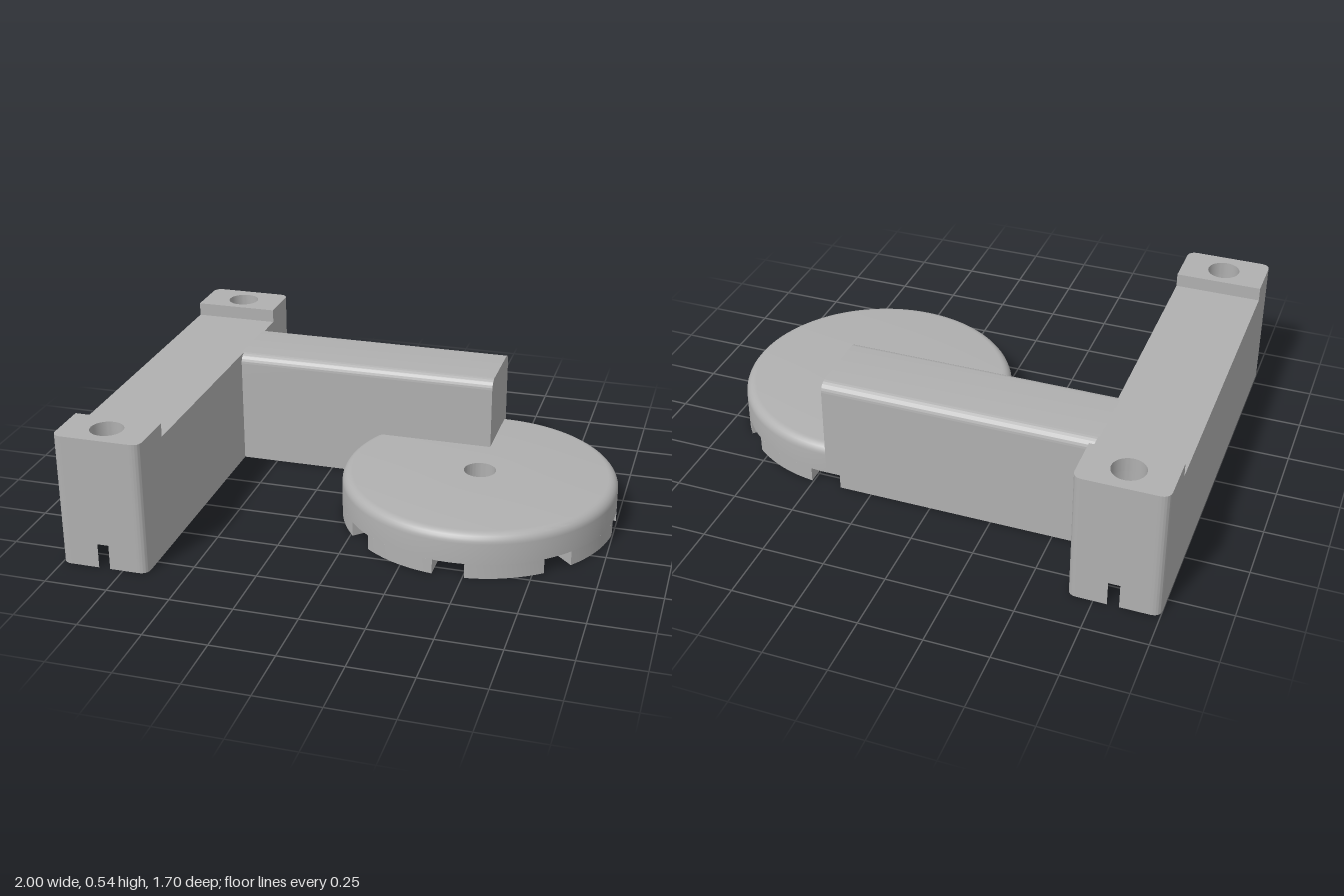
import * as THREE from 'three';
import { toCreasedNormals } from 'three/addons/utils/BufferGeometryUtils.js';

const BAR_X = -0.825, BAR_W = 0.175, BAR_END = 0.85, BAR_TOP = 0.48, PAD_TOP = 0.535;
const HOLE_R = 0.065, HOLE_Z = 0.74, NUT_R = 0.123, NUT_TOP = 0.1;
const DISC_X = 0.4445, DISC_R = 0.555, DISC_TOP = 0.185;
const GROOVE_TOP = 0.06, GROOVE_W = 0.0625, GROOVE_IN = 0.18, GROOVE_OUT = 0.59;
const ARM_BACK = -0.555, ARM_FRONT = -0.225;

export function createModel() {
  const group = new THREE.Group();
  const grey = new THREE.MeshStandardMaterial({ color: 0xb0b0b0 });
  grey.name = 'grey plastic';

  const add = (name, geometry) => {
    const mesh = new THREE.Mesh(toCreasedNormals(geometry, 0.45), grey);
    mesh.name = name;
    group.add(mesh);
    return mesh;
  };
  const extrude = (shape, depth) =>
    new THREE.ExtrudeGeometry(shape, { depth, bevelEnabled: false, curveSegments: 24 });
  // Slab from a plan drawn in (x, z), between heights y0 and y1
  const slab = (name, shape, y0, y1) =>
    add(name, extrude(shape, y1 - y0).rotateX(Math.PI / 2).translate(0, y1, 0));
  const drill = (shape, x, z) =>
    shape.holes.push(new THREE.Path().absarc(x, z, HOLE_R, 0, Math.PI * 2, true));

  // Rounded bar end: from one side to the other, with an optional nut pocket
  const c = 0.04, l = BAR_X - BAR_W, r = BAR_X + BAR_W;
  const barEnd = (shape, s, pocket) => {
    const a = l * (s < 0 ? 1 : 0) + r * (s < 0 ? 0 : 1); // starting side
    const b = l + r - a;
    shape.lineTo(a, s * (BAR_END - c));
    shape.quadraticCurveTo(a, s * BAR_END, a - s * c, s * BAR_END);
    if (pocket) {
      const open = (HOLE_Z + NUT_R - BAR_END) * Math.sqrt(3);
      shape.lineTo(BAR_X + s * open, s * BAR_END);
      for (const deg of [30, -30, -90, -150, -210]) {
        const t = THREE.MathUtils.degToRad(deg);
        shape.lineTo(BAR_X + s * NUT_R * Math.cos(t), s * (HOLE_Z + NUT_R * Math.sin(t)));
      }
      shape.lineTo(BAR_X - s * open, s * BAR_END);
    }
    shape.lineTo(b + s * c, s * BAR_END);
    shape.quadraticCurveTo(b, s * BAR_END, b, s * (BAR_END - c));
  };
  const barPlan = (pocket) => {
    const shape = new THREE.Shape();
    shape.moveTo(r, 0);
    barEnd(shape, 1, pocket);
    barEnd(shape, -1, pocket);
    shape.closePath();
    return shape;
  };

  // Mounting bar
  slab('barBase', barPlan(true), 0, NUT_TOP);
  const barBody = barPlan(false);
  for (const s of [1, -1]) drill(barBody, BAR_X, s * HOLE_Z);
  slab('barBody', barBody, NUT_TOP, BAR_TOP);

  // Raised pads at both ends
  for (const s of [1, -1]) {
    const pad = new THREE.Shape();
    pad.moveTo(s > 0 ? r : l, s * 0.64);
    barEnd(pad, s, false);
    pad.lineTo(s > 0 ? l : r, s * 0.64);
    pad.closePath();
    drill(pad, BAR_X, s * HOLE_Z);
    slab(s > 0 ? 'frontPad' : 'backPad', pad, BAR_TOP, PAD_TOP);
  }

  // Disc top with a rounded rim
  const f = 0.04;
  const profile = [[HOLE_R, GROOVE_TOP], [DISC_R, GROOVE_TOP]];
  for (let i = 0; i <= 6; i++) {
    const t = (i / 6) * Math.PI / 2;
    profile.push([DISC_R - f + f * Math.cos(t), DISC_TOP - f + f * Math.sin(t)]);
  }
  profile.push([HOLE_R, DISC_TOP], [HOLE_R, GROOVE_TOP]);
  add('discTop', new THREE.LatheGeometry(profile.map(([x, y]) => new THREE.Vector2(x, y)), 96))
    .position.x = DISC_X;

  // Disc underside cut by eight radial grooves
  const polar = (radial, side, a) => new THREE.Vector2(
    DISC_X + radial * Math.cos(a) - side * Math.sin(a),
    radial * Math.sin(a) + side * Math.cos(a));
  const half = Math.asin(GROOVE_W / DISC_R);
  const plan = [];
  for (let k = 0; k < 8; k++) {
    const a = k * Math.PI / 4;
    plan.push(polar(GROOVE_IN, -GROOVE_W, a), polar(GROOVE_IN, GROOVE_W, a));
    for (let i = 0; i <= 10; i++)
      plan.push(polar(DISC_R, 0, a + half + (Math.PI / 4 - 2 * half) * i / 10));
  }
  const discBase = new THREE.Shape(plan);
  drill(discBase, DISC_X, 0);
  slab('discBase', discBase, 0, GROOVE_TOP);

  // Arm underside, meeting the disc and notched by the diagonal groove
  const inner = DISC_R - 0.005;
  const base = [new THREE.Vector2(r - 0.01, ARM_BACK), new THREE.Vector2(r - 0.01, ARM_FRONT)];
  const arc = (a0, a1) => {
    for (let i = 0; i <= 10; i++) base.push(polar(inner, 0, a0 + (a1 - a0) * i / 10));
  };
  const diagonal = Math.PI * 1.25;
  arc(Math.PI + Math.asin(-ARM_FRONT / inner), diagonal - half);
  base.push(polar(GROOVE_OUT, -GROOVE_W, diagonal), polar(GROOVE_OUT, GROOVE_W, diagonal));
  arc(diagonal + half, Math.PI * 1.5 - half);
  base.push(new THREE.Vector2(DISC_X - GROOVE_W, ARM_BACK));
  slab('armBase', new THREE.Shape(base), 0, GROOVE_TOP);

  // Arm with rounded top edges, its section drawn in (-z, y) and run along x
  const section = new THREE.Shape();
  section.moveTo(-ARM_FRONT, GROOVE_TOP);
  section.lineTo(-ARM_BACK, GROOVE_TOP);
  section.lineTo(-ARM_BACK, BAR_TOP - f);
  section.absarc(-ARM_BACK - f, BAR_TOP - f, f, 0, Math.PI / 2, false);
  section.absarc(-ARM_FRONT + f, BAR_TOP - f, f, Math.PI / 2, Math.PI, false);
  section.closePath();
  add('arm', extrude(section, 0.44 - r + 0.01).rotateY(Math.PI / 2).translate(r - 0.01, 0, 0));

  return group;
}
